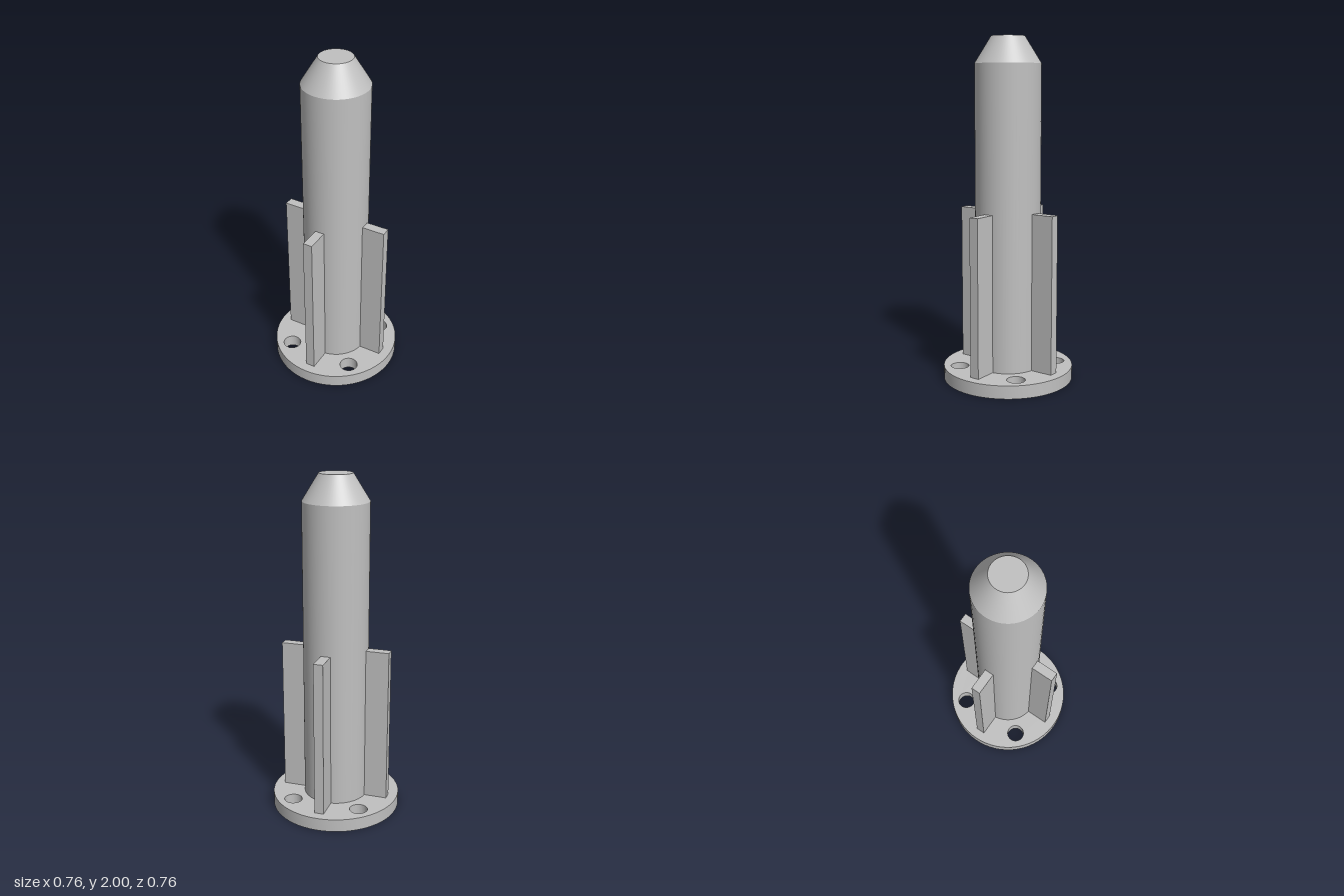
import * as THREE from 'three';
import { toCreasedNormals } from 'three/addons/utils/BufferGeometryUtils.js';

const FLANGE_R = 0.382, FLANGE_H = 0.077;
const SHAFT_R = 0.191, SHAFT_TOP = 1.847, TIP_R = 0.096, HEIGHT = 2;
const RIB_R = 0.325, RIB_W = 0.056, RIB_TOP = 1;
const HOLE_R = 0.053, HOLE_AT = 0.204;

export function createModel() {
  const model = new THREE.Group();
  model.name = 'flangedPin';
  const grey = new THREE.MeshStandardMaterial({ color: 0xc0c0c0 });
  grey.name = 'plain grey';

  const add = (name, geometry, parent = model) => {
    const mesh = new THREE.Mesh(geometry, grey);
    mesh.name = name;
    parent.add(mesh);
    return mesh;
  };

  // Round base flange with four bolt holes
  const disc = new THREE.Shape().absarc(0, 0, FLANGE_R, 0, Math.PI * 2, false);
  for (const x of [-HOLE_AT, HOLE_AT]) {
    for (const y of [-HOLE_AT, HOLE_AT]) {
      disc.holes.push(new THREE.Path().absarc(x, y, HOLE_R, 0, Math.PI * 2, true));
    }
  }
  const flange = new THREE.ExtrudeGeometry(disc, { depth: FLANGE_H, bevelEnabled: false, curveSegments: 32 });
  flange.rotateX(-Math.PI / 2);
  add('baseFlange', toCreasedNormals(flange, 0.6));

  // Straight shaft rising from the flange
  const shaftH = SHAFT_TOP - FLANGE_H;
  add('shaft', new THREE.CylinderGeometry(SHAFT_R, SHAFT_R, shaftH, 64, 1, true))
    .position.y = FLANGE_H + shaftH / 2;

  // Tapered tip with a flat end
  const tipH = HEIGHT - SHAFT_TOP;
  add('taperedTip', new THREE.CylinderGeometry(TIP_R, SHAFT_R, tipH, 64))
    .position.y = SHAFT_TOP + tipH / 2;

  // Four upright ribs, their inner ends sunk into the shaft
  const ribs = new THREE.Group();
  ribs.name = 'ribs';
  model.add(ribs);
  const inner = SHAFT_R - 0.01, ribH = RIB_TOP - FLANGE_H;
  const ribGeometry = new THREE.BoxGeometry(RIB_R - inner, ribH, RIB_W);
  ribGeometry.translate((RIB_R + inner) / 2, FLANGE_H + ribH / 2, 0);
  ['leftRib', 'backRib', 'rightRib', 'frontRib'].forEach((name, i) => {
    add(name, ribGeometry, ribs).rotation.y = i * Math.PI / 2;
  });

  return model;
}
